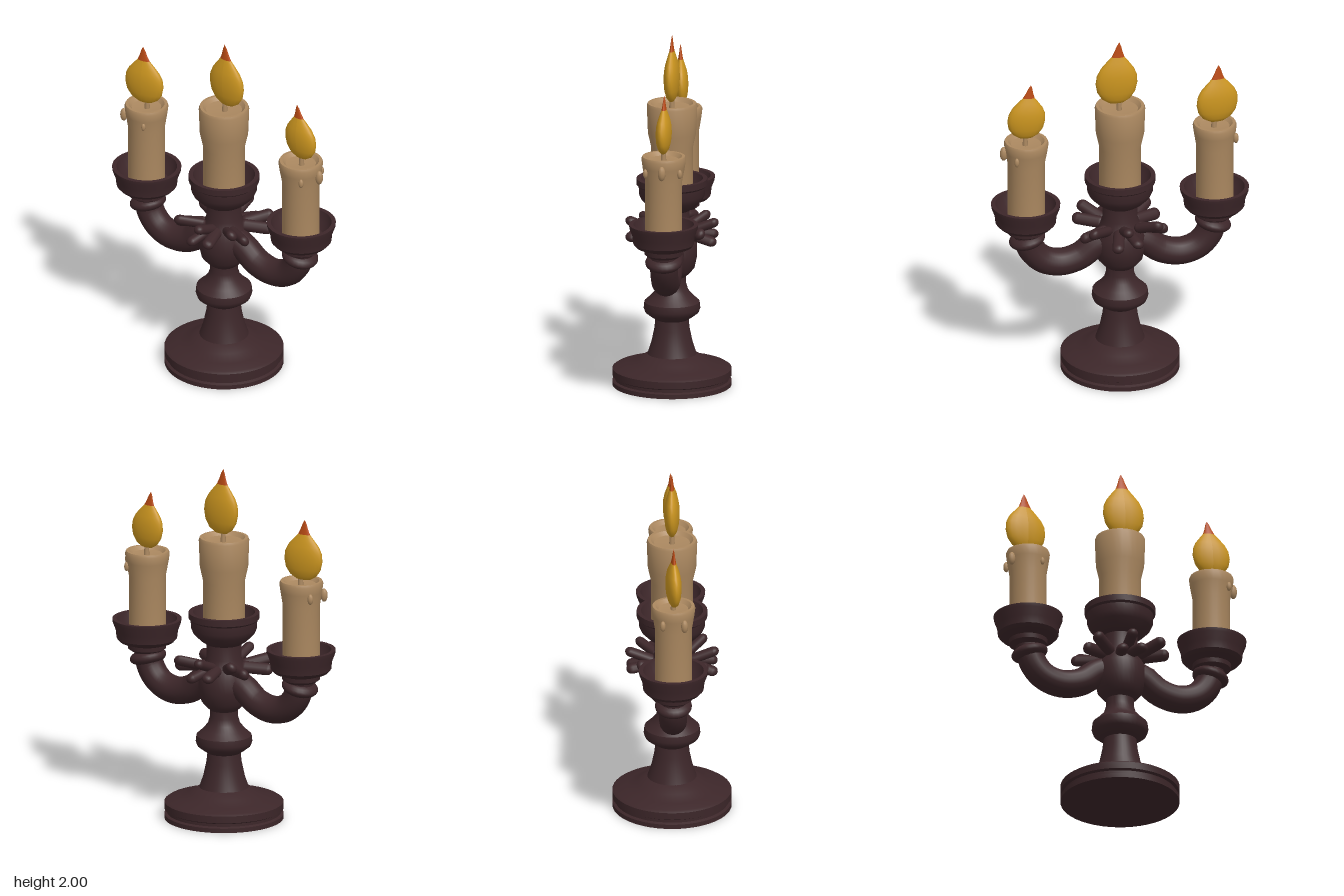
import * as THREE from 'three';
import { toCreasedNormals } from 'three/addons/utils/BufferGeometryUtils.js';

const material = (name, color, side = THREE.FrontSide) => {
  const m = new THREE.MeshStandardMaterial({ color, side });
  m.name = name;
  return m;
};

export function createModel() {
  const model = new THREE.Group();
  model.name = 'candelabra';
  const bronze = material('dark bronze', 0x3c2629);
  const wax = material('wax', 0xab8860);
  const flameYellow = material('flame yellow', 0xcb951f, THREE.DoubleSide);
  const flameOrange = material('flame orange', 0xb94a14, THREE.DoubleSide);

  const add = (name, geometry, mat, parent = model) => {
    const mesh = new THREE.Mesh(geometry, mat);
    mesh.name = name;
    parent.add(mesh);
    return mesh;
  };
  const lathe = (points, sides = 36) => toCreasedNormals(
    new THREE.LatheGeometry(points.map(([r, y]) => new THREE.Vector2(r, y)), sides), 0.6);

  // Round grooved foot and turned stem
  add('foot', lathe([[0, 0], [0.33, 0], [0.33, 0.025], [0.315, 0.032], [0.315, 0.048],
    [0.33, 0.056], [0.33, 0.095], [0.315, 0.105], [0.25, 0.118], [0.19, 0.145], [0.135, 0.178], [0, 0.18]], 48), bronze);
  add('stem', lathe([[0.137, 0.175], [0.115, 0.24], [0.098, 0.32], [0.092, 0.375], [0.115, 0.39],
    [0.148, 0.415], [0.157, 0.44], [0.153, 0.475], [0.12, 0.505], [0.09, 0.54], [0.078, 0.58],
    [0.078, 0.62], [0.1, 0.64], [0.125, 0.67], [0.14, 0.74], [0.14, 0.82], [0.115, 0.87],
    [0.098, 0.92], [0.098, 1.01]]), bronze);

  // Candle cups, each a thick bowl
  add('centreCup', lathe([[0, 0.99], [0.1, 1.0], [0.13, 1.02], [0.17, 1.06], [0.183, 1.09], [0.185, 1.135],
    [0.196, 1.145], [0.196, 1.18], [0.172, 1.18], [0.15, 1.12], [0.12, 1.09], [0, 1.09]]), bronze);

  const sideCup = lathe([[0, 0.86], [0.085, 0.87], [0.105, 0.885], [0.108, 0.91], [0.15, 0.925],
    [0.168, 0.945], [0.173, 0.99], [0.19, 1.035], [0.192, 1.055], [0.168, 1.055], [0.15, 1.0],
    [0.12, 0.97], [0, 0.97]]);

  for (const [side, s] of [['left', 1], ['right', -1]]) {
    // Swooping arm with a tilted collar under the cup
    const path = new THREE.CatmullRomCurve3([[0.06, 0.8], [0.14, 0.765], [0.23, 0.7], [0.34, 0.675],
      [0.44, 0.705], [0.505, 0.78], [0.53, 0.89]].map(([x, y]) => new THREE.Vector3(s * x, y, 0)));
    add(side + 'Arm', new THREE.TubeGeometry(path, 28, 0.077, 16), bronze);
    const collar = add(side + 'Collar', new THREE.SphereGeometry(0.103, 24, 12), bronze);
    collar.scale.y = 0.45;
    collar.position.set(s * 0.525, 0.835, 0);
    collar.rotation.z = -s * 0.25;
    add(side + 'Cup', sideCup, bronze).position.x = s * 0.533;
  }

  // Slender leaves around the stem, alternately raised and lowered
  const leafGeometry = new THREE.CapsuleGeometry(0.034, 0.13, 6, 12);
  const leaves = new THREE.Group();
  leaves.name = 'leaves';
  model.add(leaves);
  [[0.24, 0.12, 0.87], [0.2, 0.19, 0.925], [0.06, 0.24, 0.84]].forEach(([x, z, y]) => {
    for (const sx of [1, -1]) for (const sz of [1, -1]) {
      const raised = sx * sz > 0 ? 0.01 : -0.01;
      const tip = new THREE.Vector3(sx * x, y + raised, sz * z);
      const root = new THREE.Vector3(sx * x * 0.35, 0.87, sz * z * 0.35);
      const leaf = add('leaf', leafGeometry, bronze, leaves);
      leaf.position.copy(root).lerp(tip, 0.5);
      leaf.quaternion.setFromUnitVectors(new THREE.Vector3(0, 1, 0), tip.sub(root).normalize());
      leaf.scale.set(1, 0.95, 0.8);
    }
  });
  for (const sz of [1, -1]) {
    const bud = add('upperLeaf', leafGeometry, bronze, leaves);
    bud.position.set(0, 0.905, sz * 0.17);
    bud.rotation.x = sz * 1.2;
    bud.scale.set(0.9, 0.95, 0.8);
  }

  // Flame: a flattened drop whose axis drifts toward the tip, split into body and tip
  const flameBody = [[0, 0], [0.36, 0.015], [0.68, 0.08], [0.91, 0.19], [1, 0.33], [0.96, 0.46],
    [0.8, 0.57], [0.55, 0.67], [0.31, 0.76]];
  const flameTip = [[0.31, 0.76], [0.2, 0.84], [0.11, 0.93], [0, 1]];
  const flamePart = (points, width, height, lean) => {
    const g = new THREE.LatheGeometry(points.map(p => new THREE.Vector2(...p)), 20);
    const p = g.attributes.position;
    for (let i = 0; i < p.count; i++) {
      const y = p.getY(i);
      p.setXYZ(i, p.getX(i) * width + lean * y * y, y * height, p.getZ(i) * 0.043);
    }
    g.computeVertexNormals();
    return g;
  };

  // Candles: x, foot, top, lower radius, rim radius, length of rim, flame data
  const candles = [
    { name: 'centre', x: 0, y0: 1.08, y1: 1.61, r: 0.116, rim: 0.14, lip: 0.17,
      fx: 0.022, fy: 1.625, fw: 0.117, fh: 0.375, lean: -0.018, turn: -0.05 },
    { name: 'right', x: -0.535, y0: 0.96, y1: 1.45, r: 0.103, rim: 0.122, lip: 0.06,
      fx: -0.548, fy: 1.455, fw: 0.12, fh: 0.345, lean: -0.01, turn: 0.12 },
    { name: 'left', x: 0.53, y0: 0.96, y1: 1.445, r: 0.103, rim: 0.124, lip: 0.06,
      fx: 0.533, fy: 1.46, fw: 0.106, fh: 0.325, lean: -0.03, turn: -0.06 },
  ];
  for (const c of candles) {
    const group = new THREE.Group();
    group.name = c.name + 'Candle';
    model.add(group);
    add('candle', lathe([[0, c.y0], [c.r, c.y0], [c.r, c.y1 - c.lip - 0.08], [c.rim - 0.006, c.y1 - c.lip],
      [c.rim, c.y1 - 0.015], [c.rim - 0.006, c.y1], [c.rim - 0.022, c.y1], [c.rim - 0.04, c.y1 - 0.02],
      [0, c.y1 - 0.03]], 28), wax, group).position.x = c.x;
    add('wick', new THREE.CylinderGeometry(0.011, 0.016, 0.075, 8), wax, group)
      .position.set(c.x + 0.005, c.y1 + 0.005, 0);

    const flame = new THREE.Group();
    flame.name = 'flame';
    flame.position.set(c.fx, c.fy, 0);
    flame.rotation.y = c.turn;
    group.add(flame);
    add('flameBody', flamePart(flameBody, c.fw, c.fh, c.lean), flameYellow, flame);
    add('flameTip', flamePart(flameTip, c.fw, c.fh, c.lean), flameOrange, flame);
  }

  // Wax drips on the outer candles
  for (const s of [1, -1]) {
    const cx = s * 0.532;
    const drips = s > 0
      ? [[0.125, 0, 1.375, 0.022], [0.07, 0.095, 1.36, 0.014], [0.07, -0.095, 1.36, 0.014]]
      : [[0.115, 0.06, 1.37, 0.02], [0.11, -0.06, 1.37, 0.016], [-0.05, 0.1, 1.36, 0.012]];
    for (const [dx, z, y, r] of drips) {
      const drip = add('waxDrip', new THREE.SphereGeometry(r, 10, 8), wax);
      drip.position.set(cx + s * dx, y, z);
      drip.scale.y = 1.9;
    }
  }
  return model;
}
